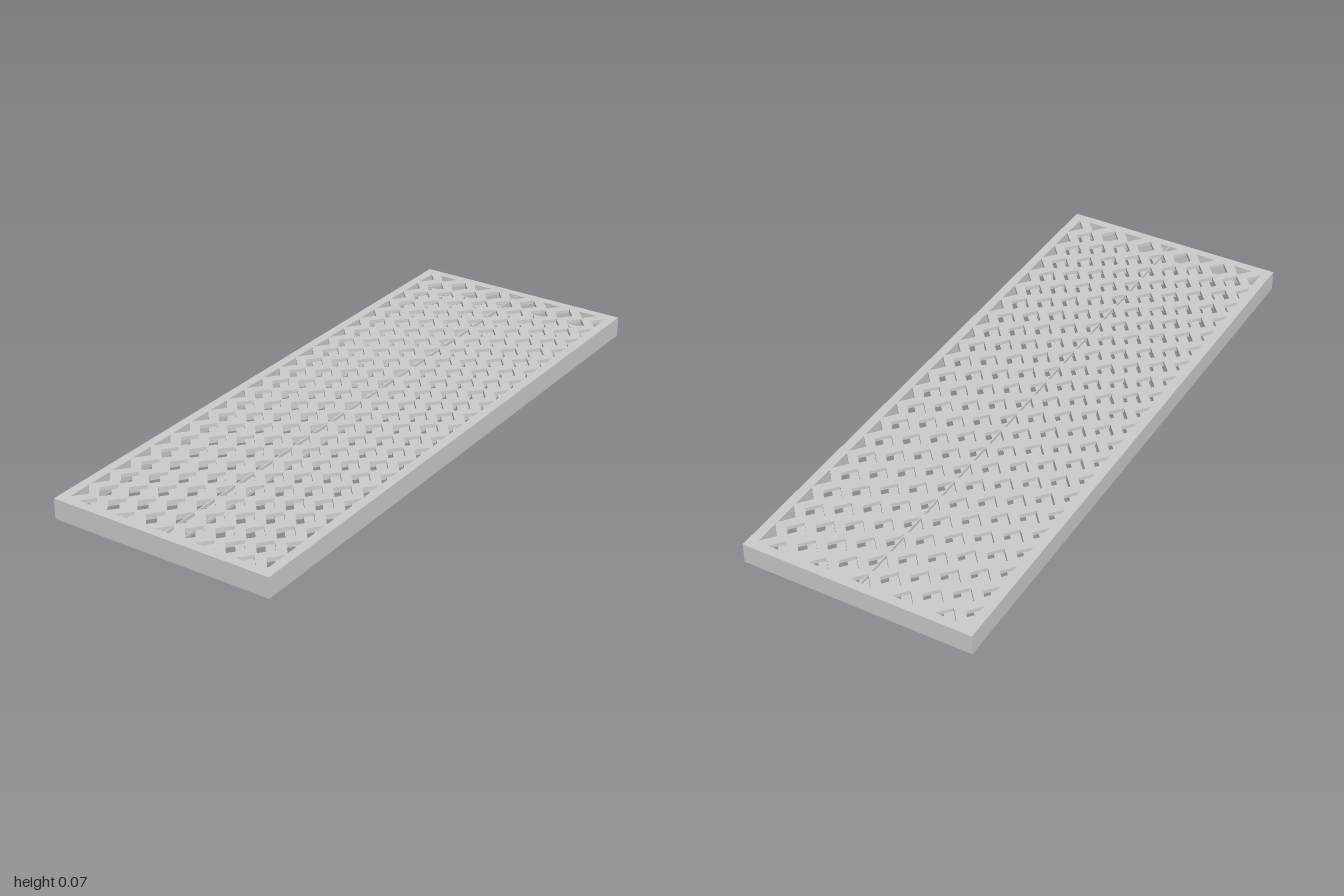
import * as THREE from 'three';

const W = 0.755, L = 2, H = 0.067;      // overall size
const IX = 0.347, IZ = 0.97;            // half size of the inner opening
const SKIN = 0.012;                     // lattice thickness
const COLS = 5, ROWS = 21;
const HW = 0.034, HH = 0.041;           // half width and half length of a diamond

const grey = new THREE.MeshStandardMaterial({ color: 0xcccccc, flatShading: true });

const rectangle = (Kind, hx, hz) => new Kind([
  new THREE.Vector2(-hx, -hz), new THREE.Vector2(hx, -hz),
  new THREE.Vector2(hx, hz), new THREE.Vector2(-hx, hz),
]);

// Extrudes a plan shape upwards from height y
function slab(name, shape, y, depth) {
  const geometry = new THREE.ExtrudeGeometry(shape, { depth, bevelEnabled: false });
  geometry.rotateX(-Math.PI / 2);
  const mesh = new THREE.Mesh(geometry, grey);
  mesh.name = name;
  mesh.position.y = y;
  return mesh;
}

// Staggered diamond openings, cut to triangles where they meet the rim
function latticeShape() {
  const shape = rectangle(THREE.Shape, W / 2, L / 2);
  const pitchX = IX / COLS, pitchZ = 2 * IZ / ROWS;
  for (let c = -COLS; c <= COLS; c++) {
    const odd = Math.abs(c) % 2;
    for (let r = 0; r <= ROWS - odd; r++) {
      const x = c * pitchX, z = -IZ + (r + odd / 2) * pitchZ;
      const corners = [[HW, 0], [0, HH], [-HW, 0], [0, -HH]]
        .map(([dx, dz]) => new THREE.Vector2(x + dx, z + dz))
        .filter(p => Math.abs(p.x) < IX + 1e-4 && Math.abs(p.y) < IZ + 1e-4);
      shape.holes.push(new THREE.Path(corners));
    }
  }
  return shape;
}

export function createModel() {
  const group = new THREE.Group();
  group.name = 'latticePanel';

  // Outer walls between the two lattice faces
  const wall = rectangle(THREE.Shape, W / 2, L / 2);
  wall.holes.push(rectangle(THREE.Path, IX, IZ));
  group.add(slab('frameWalls', wall, SKIN, H - 2 * SKIN));

  // Lattice faces with their rims and a fine centre strip
  const lattice = latticeShape();
  for (const [side, y] of [['lower', 0], ['upper', H - SKIN]]) {
    group.add(slab(side + 'Lattice', lattice, y, SKIN));
    const strip = new THREE.Mesh(new THREE.BoxGeometry(0.004, SKIN * 0.8, 2 * IZ), grey);
    strip.name = side + 'CentreStrip';
    strip.position.y = y + SKIN / 2;
    group.add(strip);
  }
  return group;
}
